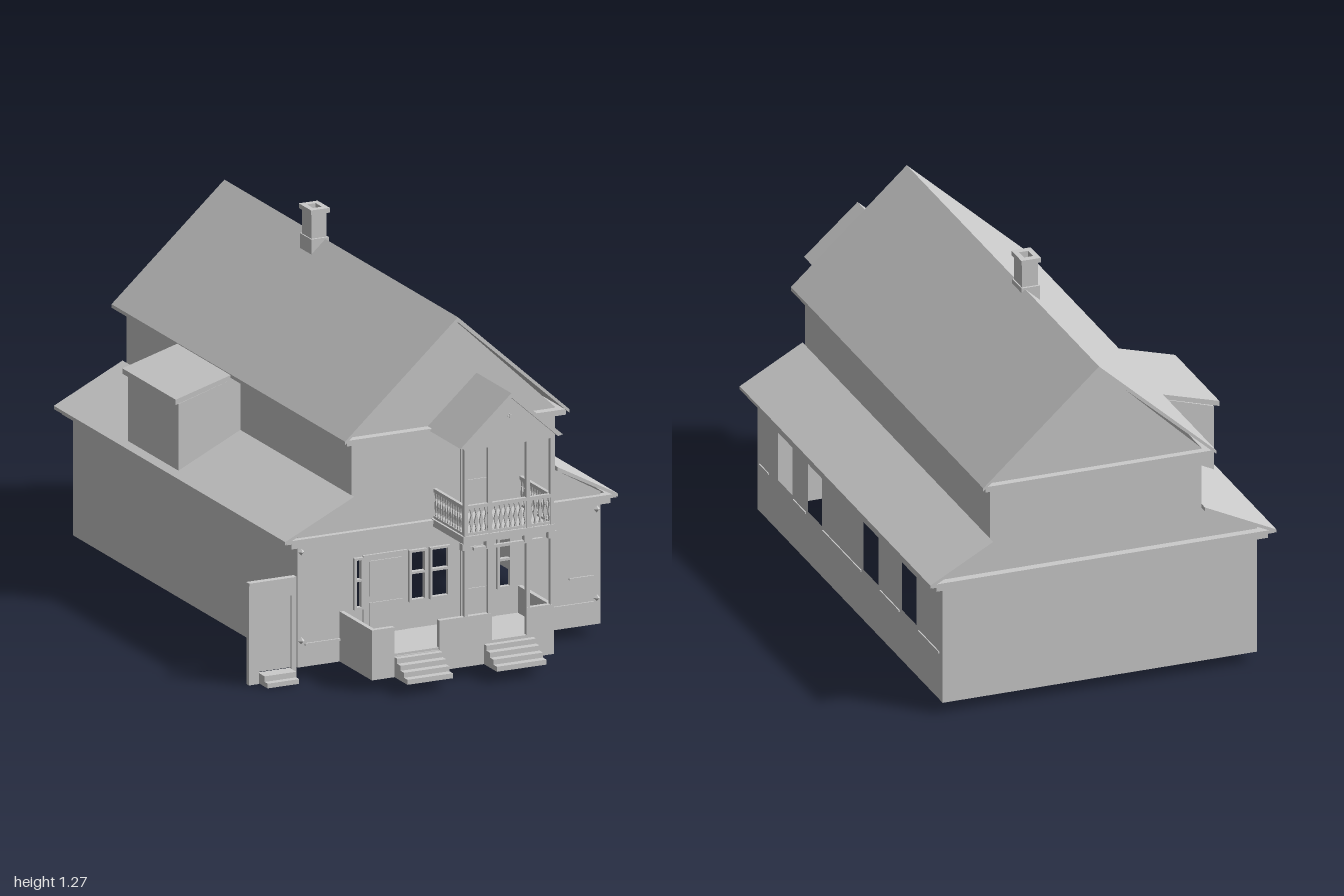
import * as THREE from 'three';

const mat = new THREE.MeshStandardMaterial({ color: 0xcccccc, flatShading: true, side: THREE.DoubleSide });

export function createModel() {
  const house = new THREE.Group();
  house.name = 'house';

  const add = (name, geo, parent = house) => {
    const m = new THREE.Mesh(geo, mat);
    m.name = name;
    parent.add(m);
    return m;
  };
  const group = (name) => {
    const g = new THREE.Group();
    g.name = name;
    house.add(g);
    return g;
  };
  // box given by its extents
  const box = (name, x0, x1, y0, y1, z0, z1, parent) => {
    const g = new THREE.BoxGeometry(x1 - x0, y1 - y0, z1 - z0);
    g.translate((x0 + x1) / 2, (y0 + y1) / 2, (z0 + z1) / 2);
    return add(name, g, parent);
  };
  const outline = (pts) => new THREE.Shape(pts.map(([x, y]) => new THREE.Vector2(x, y)));
  const rectHole = (x0, x1, y0, y1) =>
    new THREE.Path([[x0, y0], [x1, y0], [x1, y1], [x0, y1]].map(([x, y]) => new THREE.Vector2(x, y)));
  // xy outline extruded from z0 to z1
  const prism = (name, pts, z0, z1, parent) => {
    const g = new THREE.ExtrudeGeometry(outline(pts), { depth: z1 - z0, bevelEnabled: false });
    g.translate(0, 0, z0);
    return add(name, g, parent);
  };
  // rectangular frame of four bars lying flat
  const ring = (name, x0, x1, y0, y1, z0, z1, t, parent) => {
    box(name, x0, x1, y0, y1, z1 - t, z1, parent);
    box(name, x0, x1, y0, y1, z0, z0 + t, parent);
    box(name, x0, x0 + t, y0, y1, z0 + t, z1 - t, parent);
    box(name, x1 - t, x1, y0, y1, z0 + t, z1 - t, parent);
  };

  // End walls, with ground-floor openings in the front
  const F = 0.67, B = -0.97;
  const endPts = [[-0.495, 0.04], [0.605, 0.04], [0.605, 0.49], [0.44, 0.585], [0.44, 0.8], [0.07, 1.15],
    [-0.3, 0.8], [-0.3, 0.585], [-0.495, 0.49]];
  const sidelights = [[-0.29, -0.265], [-0.09, -0.035], [-0.015, 0.05], [0.23, 0.275]];
  const frontShape = outline(endPts);
  sidelights.forEach(([a, b]) => frontShape.holes.push(rectHole(a, b, 0.21, 0.385)));
  add('frontWall', new THREE.ShapeGeometry(frontShape).translate(0, 0, F));
  add('backWall', new THREE.ShapeGeometry(outline(endPts)).rotateY(Math.PI)
    .scale(-1, 1, 1).translate(0, 0, B));

  // Side walls; the right-hand one carries four window openings
  const windows = [[0.36, 0.49], [0.1, 0.225], [-0.4, -0.27], [-0.74, -0.61]];
  const sideShape = outline([[-F, 0.04], [-B, 0.04], [-B, 0.49], [-F, 0.49]]);
  windows.forEach(([a, b]) => sideShape.holes.push(rectHole(-b, -a, 0.22, 0.39)));
  add('windowWall', new THREE.ShapeGeometry(sideShape).rotateY(Math.PI / 2).translate(0.605, 0, 0));
  const plane = (name, x, y0, y1) => add(name, new THREE.PlaneGeometry(F - B, y1 - y0)
    .rotateY(Math.sign(x) * Math.PI / 2).translate(x, (y0 + y1) / 2, (F + B) / 2));
  plane('plainWall', -0.495, 0.04, 0.49);
  plane('upperWall', 0.44, 0.58, 0.8);
  plane('upperWall', -0.3, 0.58, 0.8);
  [[0.57, 0.65], [0.24, 0.35], [-0.25, 0.09], [-0.59, -0.42], [-0.94, -0.76]].forEach(([a, b]) =>
    box('sillStrip', 0.6, 0.609, 0.204, 0.211, a, b));

  // Roofs and cornices
  prism('mainRoof', [[-0.34, 0.797], [0.07, 1.165], [0.475, 0.797], [0.475, 0.785], [0.07, 1.148], [-0.34, 0.785]], -1, 0.705);
  ring('upperCornice', -0.33, 0.465, 0.778, 0.797, -0.995, 0.7, 0.03);
  prism('rightPentRoof', [[0.44, 0.6], [0.66, 0.48], [0.66, 0.469], [0.44, 0.586]], -1, 0.69);
  prism('leftPentRoof', [[-0.3, 0.6], [-0.3, 0.586], [-0.55, 0.469], [-0.55, 0.48]], -1, 0.69);
  ring('lowerCornice', -0.545, 0.655, 0.468, 0.48, -0.998, 0.689, 0.03);
  ring('lowerCorniceMoulding', -0.525, 0.635, 0.45, 0.468, -0.99, 0.685, 0.03);

  // Shed dormer
  const dormer = group('dormer');
  prism('dormerWalls', [[-0.525, 0.485], [-0.3, 0.59], [-0.3, 0.785], [-0.525, 0.718]], -0.51, -0.14, dormer);
  prism('dormerRoof', [[-0.54, 0.72], [-0.31, 0.787], [-0.31, 0.803], [-0.54, 0.738]], -0.52, -0.13, dormer);

  // Hollow chimney
  const chimney = group('chimney');
  const tube = (name, hx, hz, y0, y1) => {
    const s = outline([[-hx, -hz], [hx, -hz], [hx, hz], [-hx, hz]]);
    s.holes.push(rectHole(-0.016, 0.016, -0.022, 0.022));
    add(name, new THREE.ExtrudeGeometry(s, { depth: y1 - y0, bevelEnabled: false })
      .rotateX(-Math.PI / 2).translate(0.051, y0, -0.305), chimney);
  };
  tube('chimneyShaft', 0.028, 0.034, 1.1, 1.256);
  tube('chimneyCap', 0.034, 0.045, 1.254, 1.27);
  tube('chimneyBase', 0.032, 0.042, 1.1, 1.17);

  // Doors and sidelight frames
  const entry = group('entry');
  const door = (x0, x1, y0, y1) => {
    box('door', x0, x1, y0, y1, F - 0.005, F + 0.008, entry);
    box('doorPanel', x0 + 0.02, x1 - 0.02, y0 + 0.02, y0 + (y1 - y0) * 0.4, F, F + 0.012, entry);
    box('doorPanel', x0 + 0.02, x1 - 0.02, y0 + (y1 - y0) * 0.48, y1 - 0.02, F, F + 0.012, entry);
  };
  door(-0.26, -0.1, 0.12, 0.39);
  door(0.095, 0.22, 0.12, 0.39);
  door(0.095, 0.22, 0.49, 0.76);
  sidelights.forEach(([a, b]) => {
    [0.21, 0.305, 0.378].forEach((y) => box('sidelightBar', a, b, y, y + 0.008, F - 0.005, F + 0.012, entry));
    [a, b].forEach((x) => box('sidelightJamb', x - 0.004, x + 0.004, 0.21, 0.386, F - 0.005, F + 0.012, entry));
  });

  // Porch with parapets and two flights of steps
  const porch = group('porch');
  box('porchFloor', -0.34, 0.32, 0.105, 0.118, F, 0.9, porch);
  [[-0.342, -0.26, 0.21], [-0.26, -0.097, 0.11], [-0.097, 0.095, 0.21], [0.095, 0.22, 0.118], [0.22, 0.32, 0.21]]
    .forEach(([a, b, h]) => box('frontParapet', a, b, 0.04, h, 0.888, 0.905, porch));
  box('sideParapet', -0.342, -0.327, 0.04, 0.21, F, 0.89, porch);
  box('sideParapet', 0.305, 0.32, 0.04, 0.21, F, 0.89, porch);
  [[-0.26, -0.095], [0.065, 0.245]].forEach(([a, b]) => {
    for (let i = 0; i < 4; i++) {
      const y = 0.04 + i * 0.017;
      box('porchStep', a, b, y, y + 0.017, 0.9, 1 - i * 0.025, porch);
    }
  });

  // Posts rising through the balcony to its roof
  const balcony = group('balcony');
  [-0.006, 0.081, 0.22, 0.307].forEach((x, i) => {
    const z = 0.891;
    box('lowerPost', x, x + 0.013, i === 1 || i === 2 ? 0.118 : 0.2, 0.46, z, z + 0.013, balcony);
    box('upperPost', x, x + 0.013, 0.48, 0.79, z, z + 0.013, balcony);
    box('postCapital', x - 0.008, x + 0.021, 0.435, 0.458, z - 0.004, z + 0.015, balcony);
  });
  box('lowerBeam', 0.03, 0.28, 0.43, 0.44, 0.891, 0.903, balcony);
  box('balconyFloor', -0.01, 0.322, 0.458, 0.482, F, 0.907, balcony);
  ring('roofBeam', -0.008, 0.322, 0.776, 0.792, F, 0.905, 0.014, balcony);

  // Balustrade of wavy flat balusters
  const wave = [];
  for (let i = 0; i <= 8; i++) wave.push([0.0045 + 0.003 * Math.cos(i * Math.PI / 2), 0.48 + i * 0.0118]);
  const profile = [...wave, ...wave.map(([x, y]) => [-x, y]).reverse()];
  const rail = (length, place) => {
    const g = new THREE.Group();
    g.name = 'balustrade';
    balcony.add(g);
    const n = Math.round(length / 0.018);
    for (let i = 0; i < n; i++) prism('baluster', profile, -0.003, 0.003, g).position.x = (i + 0.5) * length / n;
    box('handRail', 0, length, 0.573, 0.585, -0.006, 0.006, g);
    box('footRail', 0, length, 0.484, 0.492, -0.005, 0.005, g);
    place(g);
  };
  rail(0.32, (g) => g.position.set(-0.003, 0, 0.897));
  [0, 0.313].forEach((x) => rail(0.215, (g) => {
    g.position.set(x, 0, 0.893);
    g.rotation.y = Math.PI / 2;
  }));

  // Balcony gable
  prism('balconyRoof', [[-0.03, 0.79], [0.155, 0.955], [0.342, 0.79], [0.325, 0.786], [0.155, 0.94], [-0.013, 0.786]], 0.6, 0.925, balcony);
  prism('balconyGable', [[-0.012, 0.788], [0.324, 0.788], [0.155, 0.942]], 0.9, 0.91, balcony);
  box('gableCross', 0.148, 0.162, 0.873, 0.877, 0.908, 0.914, balcony);
  box('gableCross', 0.153, 0.157, 0.868, 0.882, 0.908, 0.914, balcony);

  // Side gate with two steps
  const gate = group('gate');
  box('gatePanel', -0.63, -0.513, 0.04, 0.285, 0.648, 0.655, gate);
  box('gateHeader', -0.667, -0.495, 0.285, 0.345, 0.643, 0.66, gate);
  box('gateCap', -0.667, -0.495, 0.338, 0.347, 0.64, 0.663, gate);
  box('gatePost', -0.667, -0.63, 0, 0.285, 0.643, 0.66, gate);
  box('gatePost', -0.513, -0.495, 0, 0.285, 0.643, 0.66, gate);
  box('gateStep', -0.63, -0.515, 0.018, 0.037, 0.65, 0.7, gate);
  box('gateStep', -0.63, -0.515, 0.002, 0.018, 0.65, 0.722, gate);

  // Wall strips and small corner ornaments
  box('wallStrip', -0.47, -0.342, 0.112, 0.12, F, F + 0.006);
  box('wallStrip', 0.32, 0.58, 0.112, 0.12, F, F + 0.006);
  box('wallStrip', 0.49, 0.58, 0.203, 0.209, F, F + 0.006);
  for (const x of [-0.482, 0.592]) for (const y of [0.13, 0.432]) {
    add('cornerOrnament', new THREE.OctahedronGeometry(0.012)).position.set(x, y, F);
  }
  return house;
}
